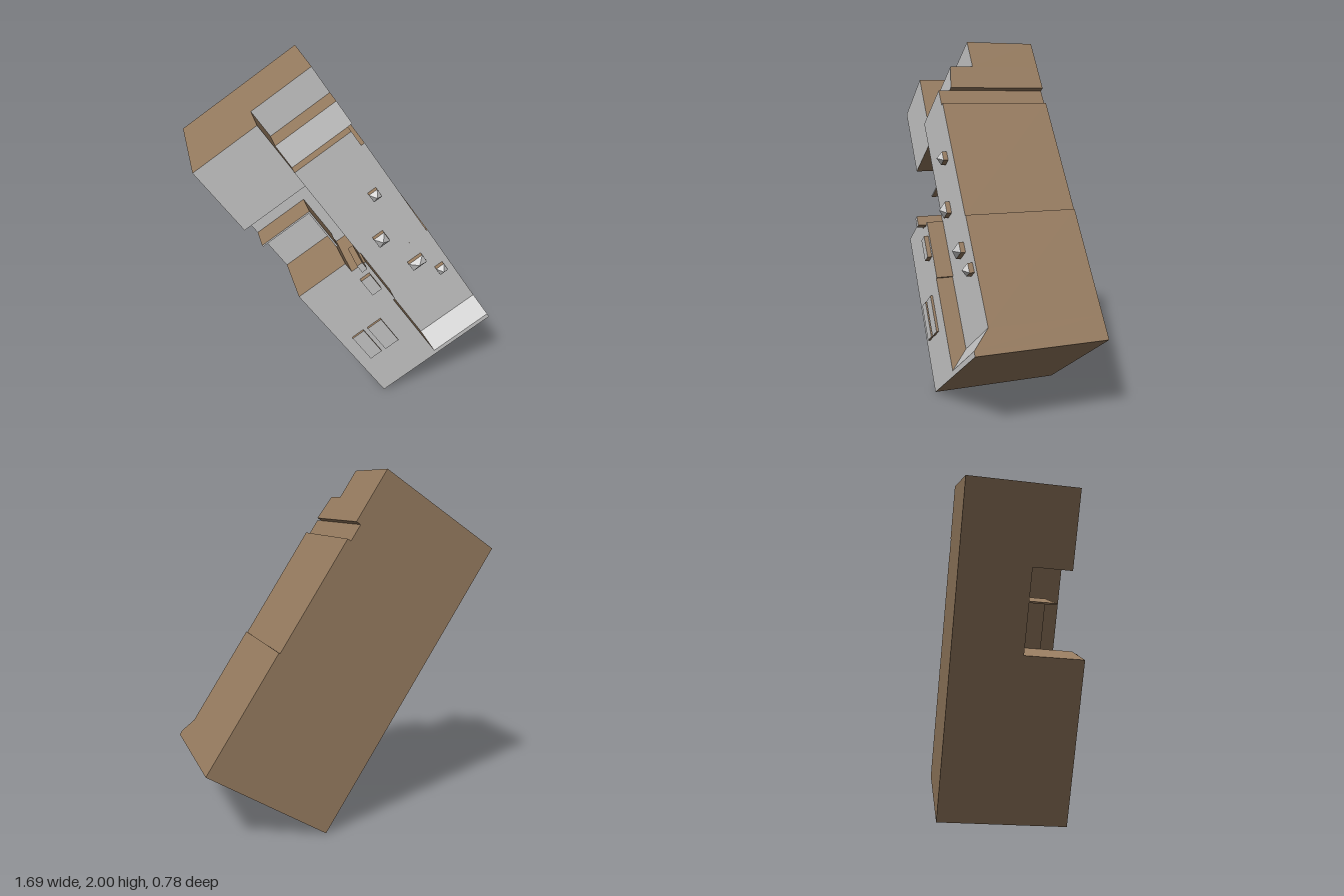
import * as THREE from 'three';

const BACK = -0.395;
const grey = new THREE.MeshStandardMaterial({ color: 0xcccccc, flatShading: true });
const brown = new THREE.MeshStandardMaterial({ color: 0x967b5f, flatShading: true });
// Brown sides and back, grey front
const faces = [brown, brown, brown, brown, grey, brown];

// Block spanning x0..x1 and y0..y1; its front may slope from zLow to zHigh
function block(name, x0, x1, y0, y1, zBack, zLow, zHigh = zLow) {
  const g = new THREE.BoxGeometry(1, 1, 1);
  const p = g.attributes.position;
  for (let i = 0; i < p.count; i++) {
    const top = p.getY(i) > 0;
    p.setXYZ(i, p.getX(i) > 0 ? x1 : x0, top ? y1 : y0,
      p.getZ(i) < 0 ? zBack : top ? zHigh : zLow);
  }
  g.computeVertexNormals();
  const m = new THREE.Mesh(g, faces);
  m.name = name;
  return m;
}

// Stud: short block with a four-sided point
function stud(x, y, w, h) {
  const s = new THREE.Group();
  s.name = 'stud';
  const tip = new THREE.ConeGeometry(Math.SQRT1_2, 1, 4, 1, true);
  tip.rotateY(Math.PI / 4).rotateX(Math.PI / 2).scale(w, h, 0.03);
  const m = new THREE.Mesh(tip, grey);
  m.name = 'studPoint';
  m.position.set(x, y, 0.287);
  s.add(block('studBase', x - w / 2, x + w / 2, y - h / 2, y + h / 2, 0.24, 0.272), m);
  return s;
}

export function createModel() {
  const model = new THREE.Group();
  model.name = 'model';
  // Upright body, leaned over as a whole
  const body = new THREE.Group();
  body.name = 'leaningBody';
  body.position.set(0.166, 0.004, 0);
  body.rotation.z = THREE.MathUtils.degToRad(33);
  model.add(body);

  // Main masses: x0, x1, y0, y1, front z at the bottom, front z at the top
  const masses = [
    ['headLeft', 0, 0.405, 1.43, 1.867, 0.22],
    ['headRight', 0.405, 0.797, 1.69, 1.867, 0.02],
    ['headSlope', 0.405, 0.797, 1.544, 1.69, 0.18, 0.155],
    ['neck', 0.405, 0.768, 1.444, 1.544, 0.245],
    ['columnUpper', 0.405, 0.79, 0.747, 1.444, 0.245],
    ['columnLower', 0.4, 0.797, 0.135, 0.747, 0.245],
    ['footSlope', 0.4, 0.797, 0.028, 0.135, 0.34, 0.245],
    ['foot', 0.4, 0.797, 0, 0.028, 0.34],
    ['recessWall', 0, 0.405, 0.955, 1.43, 0],
    ['recessCorner', 0.318, 0.405, 0.886, 0.955, 0],
    ['cabinetTop', 0, 0.318, 0.886, 0.955, 0.34],
    ['cabinetUpper', 0, 0.412, 0.548, 0.886, 0.34],
    ['cabinetLower', 0, 0.4, 0, 0.548, 0.34],
  ];
  for (const [name, x0, x1, y0, y1, zLow, zHigh] of masses)
    body.add(block(name, x0, x1, y0, y1, BACK, zLow, zHigh));

  // Thin shelf and side wall in the recess
  body.add(block('recessShelf', 0, 0.326, 1.24, 1.25, 0, 0.15));
  body.add(block('recessSide', 0.316, 0.326, 0.955, 1.24, 0, 0.15));

  // Raised panels and the tab on the cabinet
  body.add(block('upperPanel', 0.326, 0.39, 0.682, 0.81, 0.33, 0.365));
  body.add(block('lowerPanelLeft', 0.071, 0.151, 0.285, 0.495, 0.33, 0.353));
  body.add(block('lowerPanelRight', 0.177, 0.272, 0.281, 0.491, 0.33, 0.353));
  body.add(block('tab', 0.366, 0.4, 0.875, 0.931, 0.2, 0.39));

  // Studs down the column
  const studs = [[0.673, 1.156, 0.055, 0.055], [0.554, 0.892, 0.07, 0.07],
    [0.64, 0.611, 0.095, 0.06], [0.732, 0.467, 0.055, 0.055]];
  for (const s of studs) body.add(stud(...s));
  return model;
}
